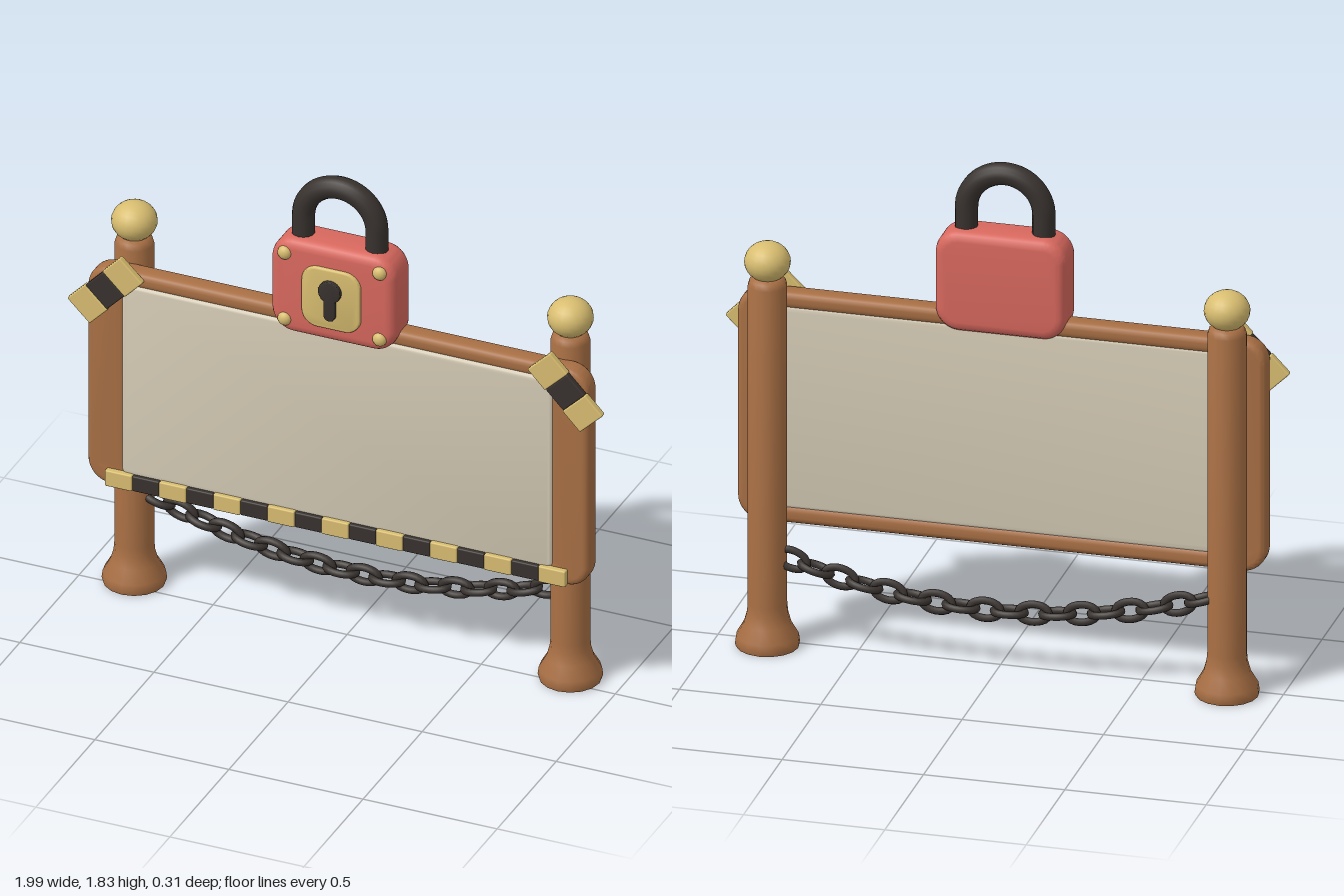
import * as THREE from 'three';
import { toCreasedNormals } from 'three/addons/utils/BufferGeometryUtils.js';
import { RoundedBoxGeometry } from 'three/addons/geometries/RoundedBoxGeometry.js';

const mat = (color) => new THREE.MeshStandardMaterial({ color });
const wood = mat(0xa86f44), gold = mat(0xd8bd70), dark = mat(0x38322e);
const red = mat(0xd8685e), board = mat(0xd6ccb6);

function add(parent, name, geometry, material, x = 0, y = 0, z = 0) {
  const mesh = new THREE.Mesh(geometry, material);
  mesh.name = name;
  mesh.position.set(x, y, z);
  parent.add(mesh);
  return mesh;
}

// Rounded rectangle outline centred on (0, cy)
function roundedRect(w, h, r, cy = 0, Type = THREE.Shape) {
  const s = new Type(), x = w / 2, b = cy - h / 2, t = cy + h / 2;
  s.moveTo(-x + r, b);
  s.lineTo(x - r, b);
  s.absarc(x - r, b + r, r, -Math.PI / 2, 0);
  s.lineTo(x, t - r);
  s.absarc(x - r, t - r, r, 0, Math.PI / 2);
  s.lineTo(-x + r, t);
  s.absarc(-x + r, t - r, r, Math.PI / 2, Math.PI);
  s.lineTo(-x, b + r);
  s.absarc(-x + r, b + r, r, Math.PI, Math.PI * 1.5);
  return s;
}

// Bevelled slab from z0 to z1 that keeps its outline size
function slab(shape, z0, z1, bevel) {
  const g = new THREE.ExtrudeGeometry(shape, {
    depth: z1 - z0 - 2 * bevel, bevelThickness: bevel, bevelSize: bevel,
    bevelOffset: -bevel, bevelSegments: 4, curveSegments: 8,
  });
  g.translate(0, 0, z0 + bevel);
  return toCreasedNormals(g, 0.7);
}

// Post with flared foot and ball cap
function makePost(name, x) {
  const post = new THREE.Group();
  post.name = name;
  post.position.set(x, 0, -0.045);
  const profile = [[0, 0], [0.108, 0], [0.112, 0.012], [0.108, 0.04], [0.082, 0.085],
    [0.071, 0.125], [0.068, 0.16], [0.068, 1.335], [0.062, 1.355], [0.048, 1.365], [0, 1.365]]
    .map(([r, y]) => new THREE.Vector2(r, y));
  add(post, 'postShaft', toCreasedNormals(new THREE.LatheGeometry(profile, 16), 0.8), wood);
  add(post, 'postBall', new THREE.SphereGeometry(0.08, 20, 14), gold, 0, 1.422).scale.y = 0.88;
  return post;
}

// Row of alternating gold and dark blocks along x
function makeStripes(name, count, length, width) {
  const strip = new THREE.Group();
  strip.name = name;
  for (let i = 0; i < count; i++) {
    const isDark = i % 2 === 1;
    const g = new RoundedBoxGeometry(length, isDark ? width * 0.95 : width, isDark ? 0.022 : 0.026, 2, 0.005);
    add(strip, isDark ? 'darkStripe' : 'goldStripe', g, isDark ? dark : gold, (i - (count - 1) / 2) * length);
  }
  return strip;
}

// Closed oval used for one chain link
class LinkCurve extends THREE.Curve {
  getPoint(t, target = new THREE.Vector3()) {
    const a = t * Math.PI * 2;
    return target.set(0.056 * Math.cos(a), 0.031 * Math.sin(a), 0);
  }
}

function makeChain() {
  const chain = new THREE.Group();
  chain.name = 'chain';
  const link = new THREE.TubeGeometry(new LinkCurve(), 20, 0.0135, 8, true);
  for (let i = 0; i < 18; i++) {
    const x = -0.728 + i * 0.0855, dx = x - 0.02;
    const mesh = add(chain, 'chainLink', link, dark, x, 0.22 + 0.22 * dx * dx, -0.05);
    mesh.rotation.order = 'ZXY';
    mesh.rotation.z = Math.atan(0.44 * dx);
    mesh.rotation.x = i % 2 ? 0.15 : Math.PI / 2;
  }
  return chain;
}

function makePadlock() {
  const lock = new THREE.Group();
  lock.name = 'padlock';
  lock.position.y = 1.405;
  add(lock, 'lockBody', slab(roundedRect(0.465, 0.37, 0.085), -0.02, 0.13, 0.035), red);

  // U-shaped shackle
  const path = new THREE.CurvePath();
  const v = (x, y) => new THREE.Vector3(x, y, 0.058);
  const arc = [];
  for (let i = 0; i <= 16; i++) {
    const a = Math.PI * (1 - i / 16);
    arc.push(v(0.137 * Math.cos(a), 0.253 + 0.137 * Math.sin(a)));
  }
  path.add(new THREE.LineCurve3(v(-0.137, 0.12), arc[0]));
  path.add(new THREE.CatmullRomCurve3(arc));
  path.add(new THREE.LineCurve3(arc[16], v(0.137, 0.12)));
  add(lock, 'shackle', new THREE.TubeGeometry(path, 48, 0.04, 14), dark);

  // Escutcheon and keyhole
  add(lock, 'keyPlate', slab(roundedRect(0.22, 0.235, 0.06), 0.115, 0.142, 0.008), gold, 0, -0.01);
  const hole = new THREE.Shape();
  const a = Math.asin(0.021 / 0.042);
  hole.absarc(0, 0, 0.042, -Math.PI / 2 + a, Math.PI * 1.5 - a);
  hole.lineTo(-0.021, -0.092);
  hole.absarc(0, -0.092, 0.021, Math.PI, Math.PI * 2);
  add(lock, 'keyhole', slab(hole, 0.13, 0.155, 0.003), dark, 0, 0.025);

  // Corner rivets
  const rivet = new THREE.SphereGeometry(0.026, 14, 10);
  for (const x of [-0.177, 0.177])
    for (const y of [-0.13, 0.13])
      add(lock, 'rivet', rivet, gold, x, y, 0.126).scale.z = 0.8;
  return lock;
}

export function createModel() {
  const model = new THREE.Group();
  model.name = 'gateSign';
  model.add(makePost('leftPost', 0.813), makePost('rightPost', -0.813));

  // Frame with opening, and the panel inside it
  const frame = roundedRect(1.87, 0.855, 0.085, 0.8625);
  frame.holes.push(roundedRect(1.58, 0.73, 0.03, 0.865, THREE.Path));
  add(model, 'frame', slab(frame, 0.003, 0.083, 0.022), wood);
  add(model, 'panel', slab(roundedRect(1.61, 0.755, 0.03, 0.865), 0.008, 0.088, 0.016), board);

  // Striped trim on the bottom rail and the upper corners
  const rail = makeStripes('bottomStripes', 17, 0.101, 0.062);
  rail.position.set(0, 0.472, 0.092);
  model.add(rail);
  for (const s of [-1, 1]) {
    const corner = makeStripes(s > 0 ? 'leftCornerStripes' : 'rightCornerStripes', 3, 0.094, 0.117);
    corner.position.set(s * 0.858, 1.211, 0.094);
    corner.rotation.z = -s * 0.8;
    model.add(corner);
  }

  model.add(makeChain(), makePadlock());
  return model;
}
